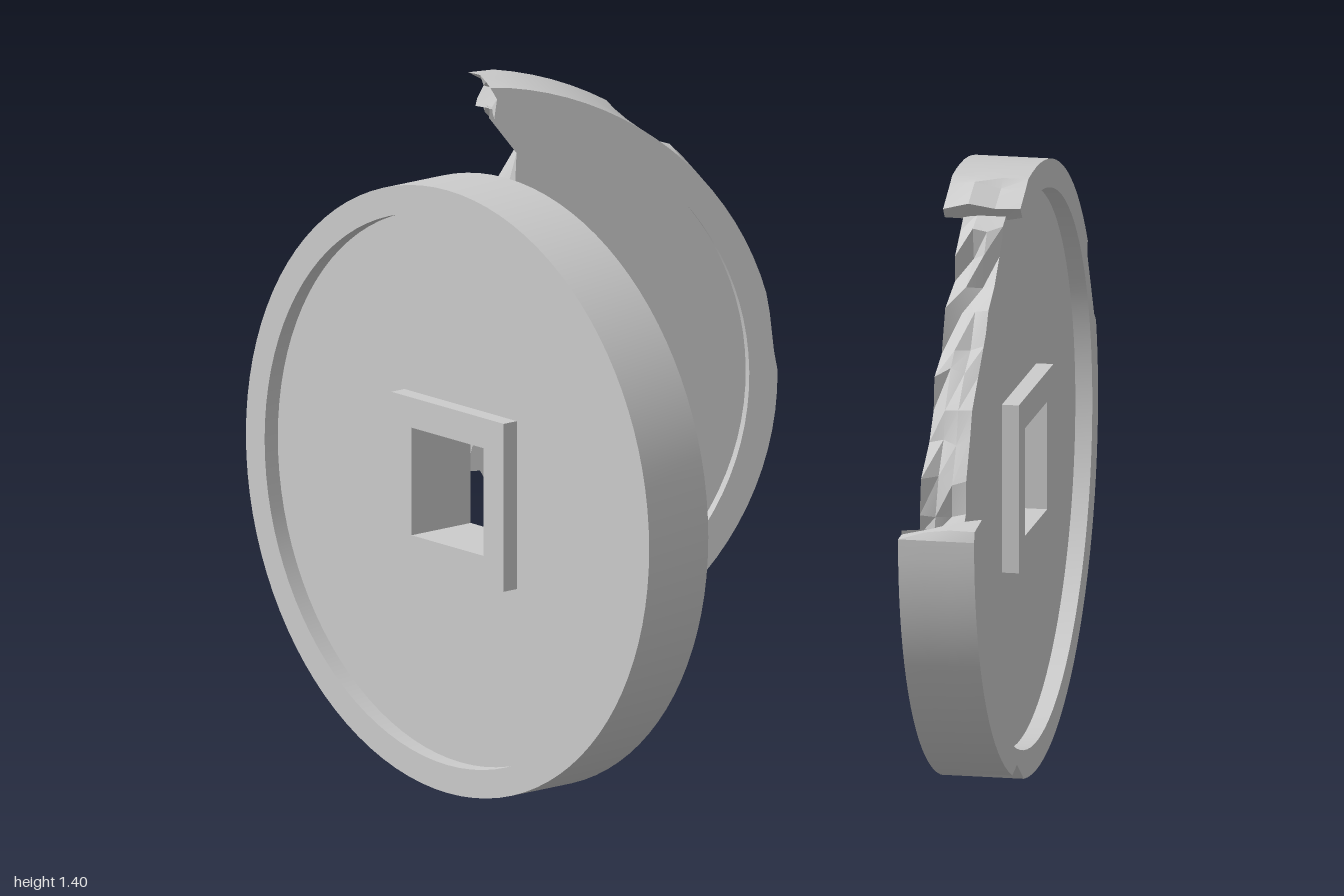
import * as THREE from 'three';
import { toCreasedNormals } from 'three/addons/utils/BufferGeometryUtils.js';

const R = 0.7, RIM = 0.635, THICK = 0.175, DISC = 0.097;
const HOLE = 0.125, FRAME = 0.195;
const rad = THREE.MathUtils.degToRad;
const material = new THREE.MeshStandardMaterial({ color: 0xcccccc });

const polar = (r, deg) => [r * Math.cos(rad(deg)), r * Math.sin(rad(deg))];
const square = (s) => [[-s, -s], [s, -s], [s, s], [-s, s]];

function arc(r, a0, a1) {
  const n = Math.max(1, Math.round(Math.abs(a1 - a0) / 3.75));
  return Array.from({ length: n + 1 }, (_, i) => polar(r, a0 + (a1 - a0) * i / n));
}
const ring = (r) => arc(r, 0, 360).slice(0, -1);

// repeatable value in -1..1 from a position
function noise(x, y, z) {
  const s = Math.sin(x * 127.1 + y * 311.7 + z * 74.7) * 4375.85;
  return 2 * (s - Math.floor(s)) - 1;
}

// Extrudes an outline; broken points are roughened through the thickness,
// and chips ({angle, depth, side}) dent the outer edge on one side.
function slab(name, outline, hole, depth, { broken = [], rough = 0.02, chips = [] } = {}) {
  const toVec = (p) => new THREE.Vector2(p[0], p[1]);
  const shape = new THREE.Shape(outline.map(toVec));
  if (hole) shape.holes.push(new THREE.Path(hole.map(toVec)));
  const steps = broken.length || chips.length ? 3 : 1;
  const geo = new THREE.ExtrudeGeometry(shape, { depth, steps, bevelEnabled: false, curveSegments: 1 });
  geo.translate(0, 0, -depth / 2);
  const pos = geo.attributes.position;
  for (let i = 0; i < pos.count; i++) {
    let x = pos.getX(i), y = pos.getY(i);
    const z = pos.getZ(i);
    if (broken.some((b) => Math.hypot(b[0] - x, b[1] - y) < 1e-4)) {
      const kx = Math.round(x * 100) / 100, ky = Math.round(y * 100) / 100, kz = Math.round(z * 100) / 100;
      x += rough * noise(kx, ky, kz);
      y += rough * 0.5 * noise(ky, kx, kz + 1);
      // keep the roughened ends inside the coin
      const over = Math.hypot(x, y) / R;
      if (over > 1) { x /= over; y /= over; }
    } else if (Math.hypot(x, y) > R - 0.005) {
      for (const c of chips) {
        const a = Math.atan2(y, x) - rad(c.angle);
        const off = Math.abs(Math.atan2(Math.sin(a), Math.cos(a)));
        const fall = Math.max(0, 1 - off / rad(c.width));
        const k = 1 - c.depth * Math.sqrt(fall) * (0.5 + c.side * z / depth) / R;
        x *= k;
        y *= k;
      }
    }
    pos.setXY(i, x, y);
  }
  const mesh = new THREE.Mesh(toCreasedNormals(geo, 0.3), material);
  mesh.name = name;
  return mesh;
}

function coin(name, x, z, turn, parts) {
  const g = new THREE.Group();
  g.name = name;
  g.position.set(x, R, z);
  g.rotation.y = turn;
  g.add(...parts);
  return g;
}

function wholeCoin() {
  return coin('wholeCoin', -0.13, 0.758, 0, [
    slab('rim', ring(R), ring(RIM), THICK),
    slab('disc', ring(RIM + 0.005), square(0.16), DISC),
    slab('holeFrame', square(FRAME), square(HOLE), THICK),
  ]);
}

// coin with a large piece missing from one upper quarter
function chippedCoin() {
  const edge = [[0.62, 0.03], [0.605, 0.12], [0.56, 0.2], [0.5, 0.26], [0.46, 0.33], [0.4, 0.37],
    [0.33, 0.45], [0.27, 0.48], [0.22, 0.54], [0.18, 0.6]];
  const ends = [polar(R, 79), polar(0.67, 75), polar(RIM, 76), polar(RIM, 362), polar(0.67, 361)];
  const rim = [...arc(R, 79, 360), ends[4], ...arc(RIM, 362, 76), ends[1]];
  return coin('chippedCoin', 0.5, -0.247, -0.907, [
    slab('rim', rim, null, THICK, {
      broken: ends, rough: 0.025,
      chips: [
        { angle: 155, width: 8, depth: 0.06, side: -1 },
        { angle: 287, width: 4, depth: 0.04, side: -1 },
        { angle: 222, width: 4, depth: 0.025, side: 1 },
      ],
    }),
    slab('disc', [...arc(RIM + 0.005, 77, 360), ...edge], square(0.16), DISC, { broken: edge, rough: 0.03 }),
    slab('holeFrame', square(FRAME), square(HOLE), THICK),
  ]);
}

// coin snapped roughly down the middle, through the square hole
function halfCoin() {
  const upper = [[0.05, 0.61], [0.11, 0.53], [0.08, 0.44], [0.12, 0.34], [0.09, 0.26], [0.03, 0.19]];
  const lower = [[0.03, -0.19], [0.07, -0.25], [0.06, -0.33], [0.08, -0.42], [0.04, -0.52], [-0.03, -0.6]];
  const notch = [[0.03, 0.16], [0.16, 0.16], [0.16, -0.16], [0.03, -0.16]];
  const ends = [polar(R, 87), polar(0.67, 85), polar(RIM, 86), polar(RIM, -96), polar(0.67, -95)];
  const rim = [...arc(R, -97, 87), ends[1], ...arc(RIM, 86, -96), ends[4]];
  const tips = [[-0.005, FRAME], [0.01, HOLE], [0.01, -HOLE], [-0.005, -FRAME]];
  const frame = [tips[0], tips[1], [HOLE, HOLE], [HOLE, -HOLE], tips[2], tips[3],
    [FRAME, -FRAME], [FRAME, FRAME]];
  return coin('halfCoin', -0.889, 0.145, 1.074, [
    slab('rim', rim, null, THICK, {
      broken: ends,
      chips: [
        { angle: 53, width: 5, depth: 0.04, side: -1 },
        { angle: -40, width: 5, depth: 0.04, side: -1 },
        { angle: 8, width: 4, depth: 0.02, side: 1 },
      ],
    }),
    slab('disc', [...arc(RIM + 0.005, -95, 86), ...upper, ...notch, ...lower], null, DISC,
      { broken: [...upper, ...lower], rough: 0.03 }),
    slab('holeFrame', frame, null, THICK, { broken: tips, rough: 0.015 }),
  ]);
}

export function createModel() {
  const group = new THREE.Group();
  group.name = 'coins';
  group.add(wholeCoin(), chippedCoin(), halfCoin());
  return group;
}
